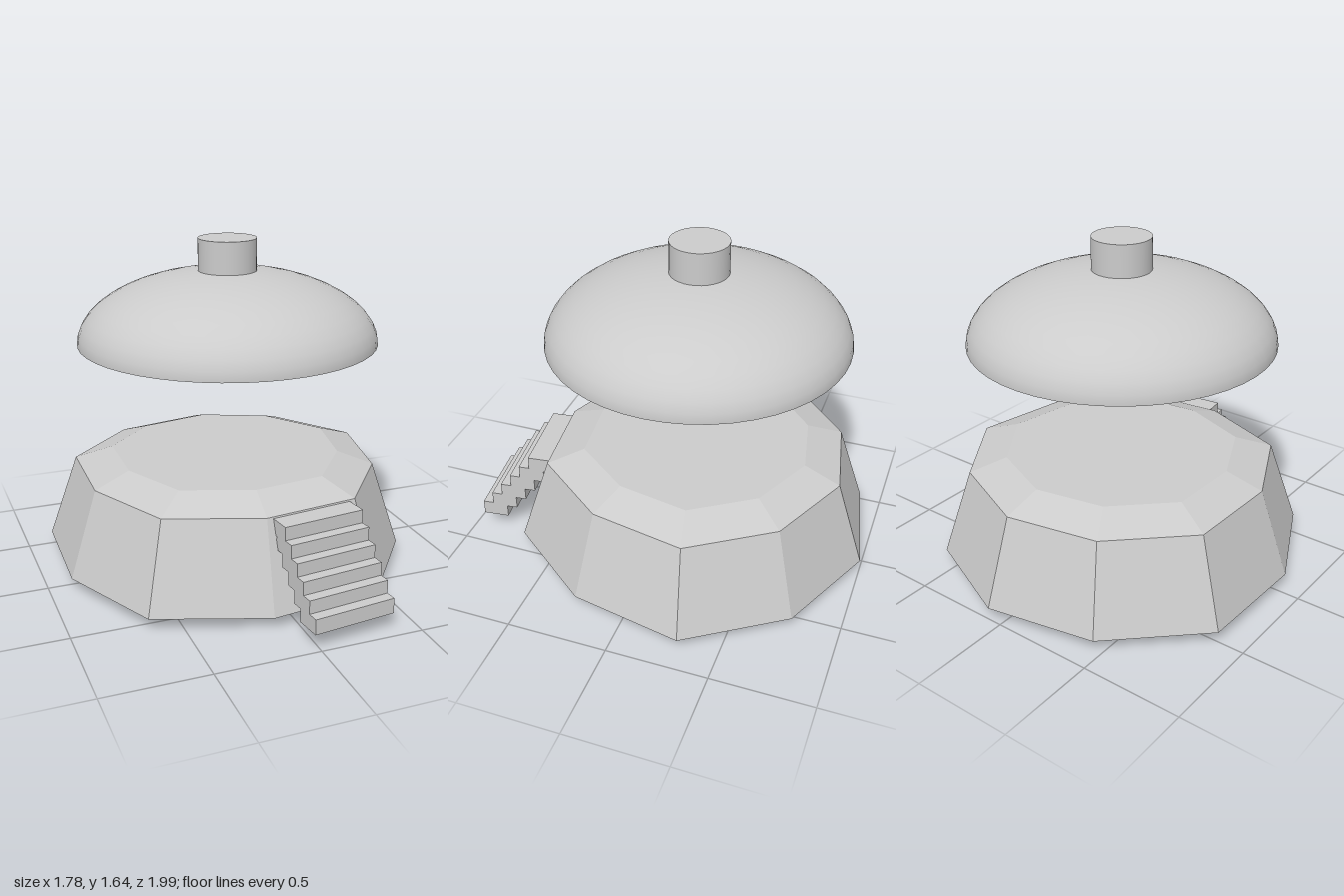
import * as THREE from 'three';

export function createModel() {
  const model = new THREE.Group();
  const flat = new THREE.MeshStandardMaterial({ color: 0xcccccc, flatShading: true });
  const smooth = new THREE.MeshStandardMaterial({ color: 0xcccccc });
  const cx = -0.025, cz = -0.1; // shared vertical axis of base, dome and chimney

  const add = (parent, name, geometry, material, x, y, z) => {
    const mesh = new THREE.Mesh(geometry, material);
    mesh.name = name;
    mesh.position.set(x, y, z);
    parent.add(mesh);
    return mesh;
  };

  // Base: slightly uneven ten-sided outline, scaled ring by ring about its centre
  const outline = [
    [0.07, -1], [0.575, -0.775], [0.888, -0.31], [0.78, 0.247], [0.437, 0.69],
    [-0.123, 0.762], [-0.657, 0.567], [-0.893, 0.06], [-0.875, -0.51], [-0.465, -0.895],
  ];
  const rings = [[0, 0], [0.06, 1], [0.49, 0.84], [0.555, 0.635], [0.555, 0]]; // y, scale
  const bx = -0.022, bz = -0.112;
  const point = ([y, s], i) => {
    const [x, z] = outline[i % outline.length];
    return [bx + (x - bx) * s, y, bz + (z - bz) * s];
  };
  const positions = [];
  for (let r = 0; r < rings.length - 1; r++) {
    const low = rings[r], high = rings[r + 1];
    for (let i = 0; i < outline.length; i++) {
      const a = point(low, i), b = point(low, i + 1);
      const c = point(high, i), d = point(high, i + 1);
      if (high[1] > 0) positions.push(...a, ...c, ...d);
      if (low[1] > 0) positions.push(...a, ...d, ...b);
    }
  }
  const baseGeometry = new THREE.BufferGeometry();
  baseGeometry.setAttribute('position', new THREE.Float32BufferAttribute(positions, 3));
  baseGeometry.computeVertexNormals();
  add(model, 'base', baseGeometry, flat, 0, 0, 0);

  // Floating dome roof with a flat underside
  const roof = new THREE.Group();
  roof.name = 'roof';
  roof.position.set(cx, 1.135, cz);
  model.add(roof);
  const domeGeometry = new THREE.SphereGeometry(0.737, 48, 12, 0, Math.PI * 2, 0, Math.PI / 2);
  domeGeometry.scale(1, 0.355 / 0.737, 1);
  add(roof, 'dome', domeGeometry, smooth, 0, 0, 0);
  const underside = add(roof, 'domeUnderside', new THREE.CircleGeometry(0.737, 48), smooth, 0, 0, 0);
  underside.rotation.x = Math.PI / 2;
  add(roof, 'chimney', new THREE.CylinderGeometry(0.143, 0.143, 0.2, 32), smooth, 0, 0.405, 0);

  // Stairs: six overlapping slabs climbing into the base
  const stairs = new THREE.Group();
  stairs.name = 'stairs';
  stairs.position.set(0.175, 0, 0.97);
  stairs.rotation.y = 0.12;
  model.add(stairs);
  const depth = 0.13, rise = 0.065, run = 0.054;
  for (let i = 0; i < 6; i++) {
    add(stairs, `step${i + 1}`, new THREE.BoxGeometry(0.413, 0.075, depth), flat,
      0, 0.12 + i * rise, -depth / 2 - i * run);
  }

  return model;
}
